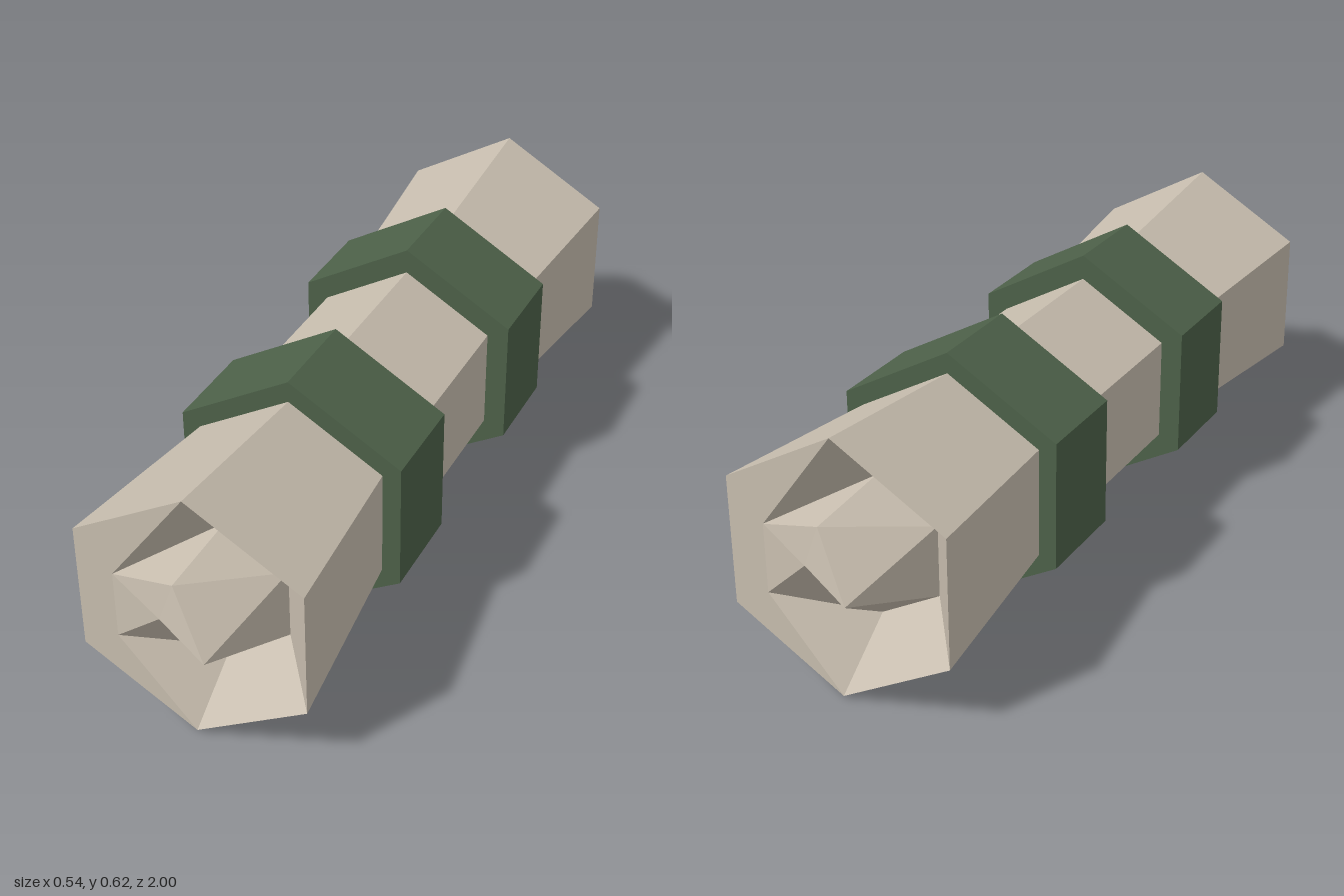
import * as THREE from 'three';

const CENTER_Y = 0.311;

export function createModel() {
  const stone = new THREE.MeshStandardMaterial({ color: 0xc8beaf });
  stone.name = 'paleStone';
  const green = new THREE.MeshStandardMaterial({ color: 0x4d6149 });
  green.name = 'darkGreen';

  const model = new THREE.Group();
  model.name = 'bandedHexagonalRod';

  // Facet a geometry so every side has its own normal
  function flat(geometry) {
    const g = geometry.index ? geometry.toNonIndexed() : geometry;
    g.computeVertexNormals();
    return g;
  }

  // Six-sided section lying along z, with corners at top and bottom
  function hexSection(name, z0, z1, r0, r1, material, open, parent) {
    const g = new THREE.CylinderGeometry(r1, r0, z1 - z0, 6, 1, open);
    g.rotateX(Math.PI / 2);
    const mesh = new THREE.Mesh(flat(g), material);
    mesh.name = name;
    mesh.position.set(0, CENTER_Y, (z0 + z1) / 2);
    parent.add(mesh);
  }

  // Broken end: rim, recessed ring and jagged peak
  function brokenEndGeometry() {
    const points = [];
    for (let i = 0; i < 6; i++) {
      const a = Math.PI / 2 + (i * Math.PI) / 3;
      points.push([0.308 * Math.cos(a), CENTER_Y + 0.308 * Math.sin(a), 0.893]);
    }
    points.push(
      [0.018, 0.478, 0.76], [0.163, 0.396, 0.76], [0.163, 0.228, 0.76], [0.018, 0.144, 0.76], // recess
      [-0.18, 0.207, 0.893], [-0.18, 0.374, 0.893], // flat side of the break
      [-0.003, 0.443, 0.945], [0.093, 0.313, 1.0], [-0.04, 0.342, 0.945] // peak
    );
    const faces = [
      [0, 1, 11], [1, 2, 10, 11], [2, 3, 10], // flat rim
      [0, 11, 6], [0, 6, 7, 5], [5, 7, 8, 4], [4, 8, 9, 3], [3, 9, 10], // recess walls
      [11, 12, 6], [6, 12, 7], [12, 13, 7], [7, 13, 8], [8, 13, 9], // peak
      [9, 13, 14], [9, 14, 10], [10, 14, 11], [11, 14, 12], [14, 13, 12]
    ];
    const positions = [];
    for (const f of faces) {
      for (let i = 1; i < f.length - 1; i++) {
        positions.push(...points[f[0]], ...points[f[i]], ...points[f[i + 1]]);
      }
    }
    const g = new THREE.BufferGeometry();
    g.setAttribute('position', new THREE.Float32BufferAttribute(positions, 3));
    return flat(g);
  }

  // Straight middle
  hexSection('middleShaft', -0.33, 0.33, 0.25, 0.25, stone, true, model);

  // Flared, broken ends: the back is the front turned half round
  const endGeometry = brokenEndGeometry();
  for (const side of ['front', 'back']) {
    const half = new THREE.Group();
    half.name = side + 'Half';
    hexSection(side + 'Flare', 0.33, 0.893, 0.25, 0.308, stone, true, half);
    const end = new THREE.Mesh(endGeometry, stone);
    end.name = side + 'BrokenEnd';
    half.add(end);
    if (side === 'back') half.rotation.y = Math.PI;
    model.add(half);
  }

  // Bands
  hexSection('frontBand', 0.19, 0.43, 0.311, 0.311, green, false, model);
  hexSection('backBand', -0.447, -0.207, 0.311, 0.311, green, false, model);

  return model;
}
